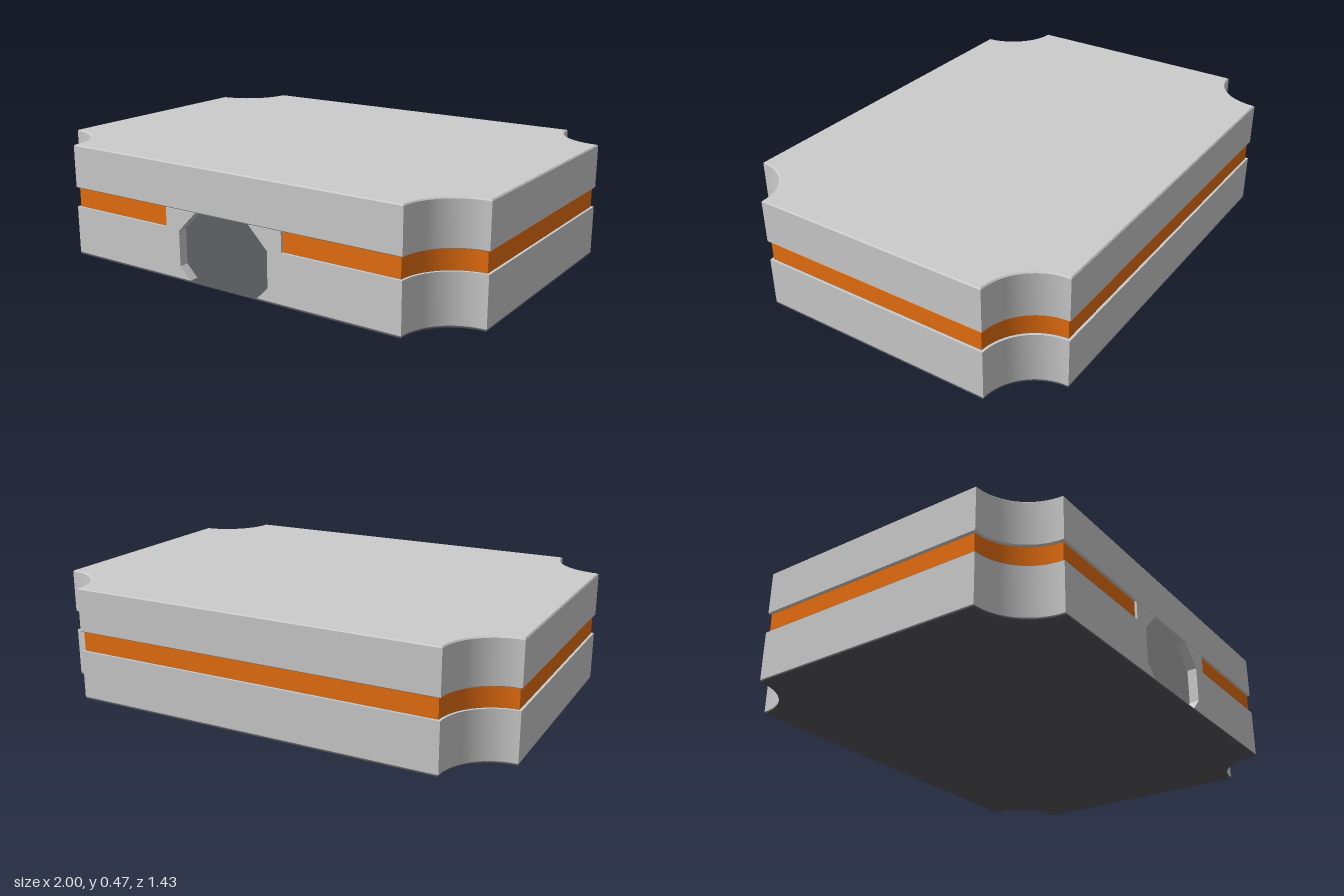
import * as THREE from 'three';
import { toCreasedNormals } from 'three/addons/utils/BufferGeometryUtils.js';

const W = 1, D = 0.717, H = 0.475;      // half width, half depth, height
const SCOOP = 0.215;                    // radius of the scooped corners
const WALL = 0.04, GAP = 0.28;          // wall thickness, half width of the front panel
const BAND_LOW = 0.21, BAND_HIGH = 0.29, FLOOR = 0.01, EDGE = 0.005;

const grey = new THREE.MeshStandardMaterial({ color: 0xcccccc });
const orange = new THREE.MeshStandardMaterial({ color: 0xe66e10 });
const dark = new THREE.MeshStandardMaterial({ color: 0x55565a });

// Rectangle with scooped corners, inset all round, starting and ending at the front gap
function outline(inset) {
  const w = W - inset, d = D - inset, r = SCOOP + inset;
  const skew = Math.asin(inset / r);
  const pts = [new THREE.Vector2(GAP, -d)];
  // corner centre and the angle at which its arc begins (arcs run clockwise)
  const corners = [[W, -D, Math.PI], [W, D, -Math.PI / 2], [-W, D, 0], [-W, -D, Math.PI / 2]];
  for (const [cx, cy, start] of corners) {
    for (let i = 0; i <= 16; i++) {
      const a = start - skew - (Math.PI / 2 - 2 * skew) * (i / 16);
      pts.push(new THREE.Vector2(cx + r * Math.cos(a), cy + r * Math.sin(a)));
    }
  }
  pts.push(new THREE.Vector2(-GAP, -d));
  return pts;
}

function addMesh(group, name, geometry, material) {
  const mesh = new THREE.Mesh(toCreasedNormals(geometry, 0.5), material);
  mesh.name = name;
  group.add(mesh);
  return mesh;
}

// Upright slab between two heights, with an optional small chamfer
function slab(points, y0, y1, chamfer = 0) {
  const g = new THREE.ExtrudeGeometry(new THREE.Shape(points), {
    depth: y1 - y0 - 2 * chamfer, bevelEnabled: chamfer > 0,
    bevelSize: chamfer, bevelThickness: chamfer, bevelSegments: 1,
  });
  return g.rotateX(-Math.PI / 2).translate(0, y0 + chamfer, 0);
}

// Wall that runs round the case and stays open at the front panel
const openRing = (inset) => [...outline(inset), ...outline(WALL).reverse()];

export function createModel() {
  const model = new THREE.Group();
  model.name = 'case';

  // Lid, base plate, lower wall and recessed coloured band
  addMesh(model, 'lid', slab(outline(EDGE), BAND_HIGH, H, EDGE), grey);
  addMesh(model, 'basePlate', slab(outline(0.003), 0, FLOOR, 0.003), dark);
  addMesh(model, 'lowerWall', slab(openRing(0), FLOOR, BAND_LOW), grey);
  addMesh(model, 'band', slab(openRing(0.01), BAND_LOW, BAND_HIGH), orange);

  // Front panel halves, leaving an eight-sided opening between them
  const half = [[0.165, FLOOR], [GAP, FLOOR], [GAP, BAND_HIGH], [0.13, BAND_HIGH], [0.215, 0.205], [0.215, 0.06]];
  for (const side of [1, -1]) {
    const pts = half.map(([x, y]) => new THREE.Vector2(side * x, y));
    const g = new THREE.ExtrudeGeometry(new THREE.Shape(pts), { depth: WALL, bevelEnabled: false });
    g.translate(0, 0, D - WALL);
    addMesh(model, side > 0 ? 'frontPanelLeft' : 'frontPanelRight', g, grey);
  }
  return model;
}
